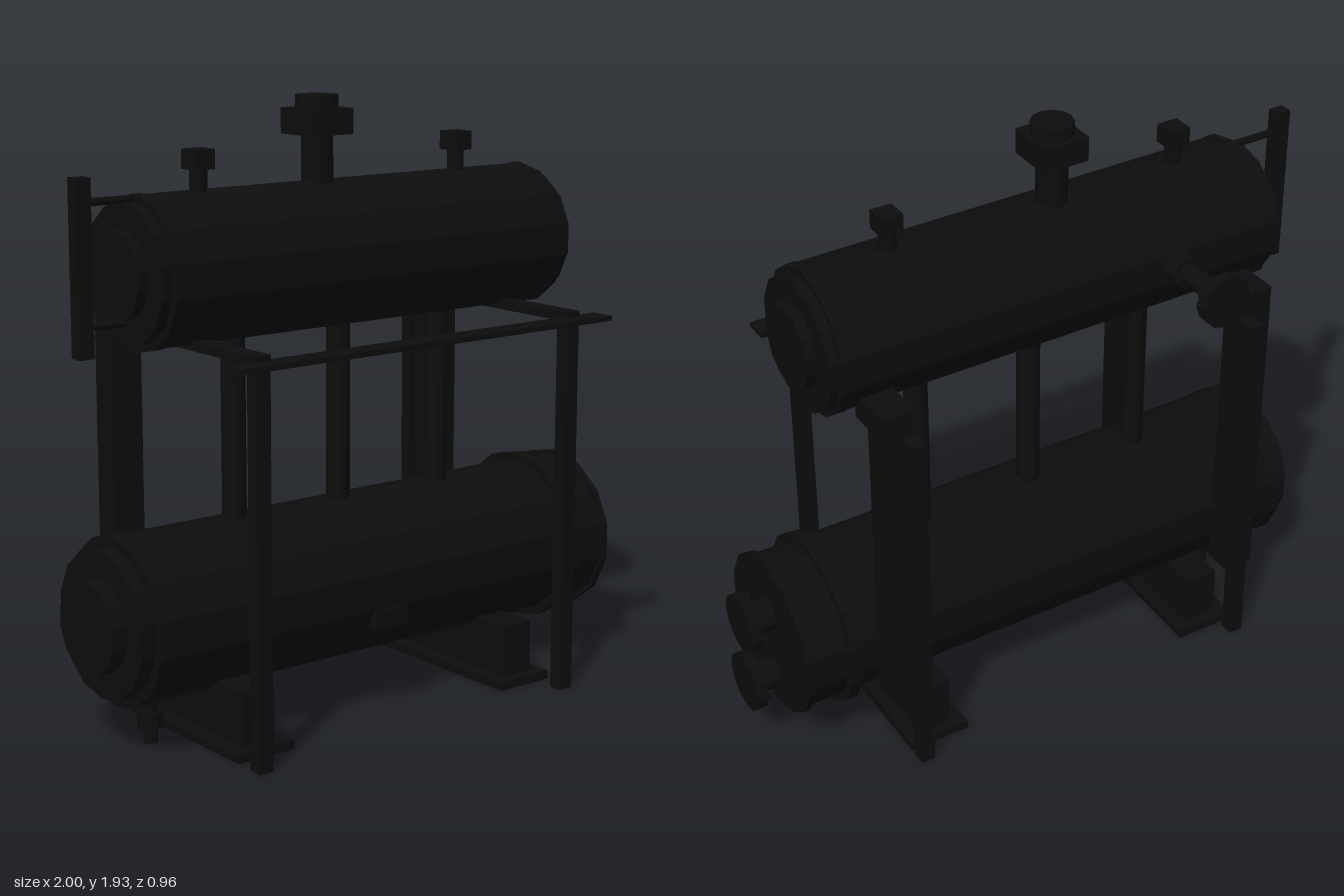
import * as THREE from 'three';

export function createModel() {
  const root = new THREE.Group();
  const black = new THREE.MeshStandardMaterial({ color: 0x0d0d0d, flatShading: true });
  black.name = 'black paint';

  const add = (geo, name, parent = root) => {
    const mesh = new THREE.Mesh(geo, black);
    mesh.name = name;
    parent.add(mesh);
    return mesh;
  };
  // Box given by its extents
  const box = (name, x0, x1, y0, y1, z0, z1, parent) =>
    add(new THREE.BoxGeometry(x1 - x0, y1 - y0, z1 - z0), name, parent)
      .position.set((x0 + x1) / 2, (y0 + y1) / 2, (z0 + z1) / 2);
  // Cylinder from a to b along one axis; u, v are the other two coordinates
  const rod = (name, axis, a, b, r, u, v, sides = 12, parent = root) => {
    const geo = new THREE.CylinderGeometry(r, r, b - a, sides, 1, false, Math.PI / 2);
    const m = (a + b) / 2;
    if (axis === 'x') geo.rotateZ(Math.PI / 2).translate(m, u, v);
    if (axis === 'y') geo.translate(u, m, v);
    if (axis === 'z') geo.rotateX(Math.PI / 2).translate(u, v, m);
    return add(geo, name, parent);
  };
  // Stepped fourteen-sided drum from [x, radius] points
  const drum = (name, y, points) => {
    const pts = points.map(([x, r]) => new THREE.Vector2(r, x));
    const geo = new THREE.LatheGeometry(pts, 14, Math.PI / 2);
    geo.rotateZ(-Math.PI / 2).translate(0, y, 0);
    add(geo, name);
  };

  // Drums with stepped ends
  drum('lowerDrum', 0.404, [
    [-0.99, 0], [-0.99, 0.148], [-0.94, 0.148], [-0.94, 0.23], [-0.893, 0.23],
    [-0.893, 0.262], [-0.845, 0.262], [-0.845, 0.257], [0.715, 0.257], [0.715, 0.284],
    [0.755, 0.284], [0.755, 0.257], [0.875, 0.257], [0.875, 0.27], [0.897, 0.27], [0.897, 0],
  ]);
  drum('upperDrum', 1.44, [
    [-0.866, 0], [-0.866, 0.134], [-0.835, 0.134], [-0.835, 0.213], [-0.8, 0.213],
    [-0.8, 0.234], [-0.77, 0.234], [-0.77, 0.231], [0.68, 0.231], [0.68, 0.234], [0.71, 0.234],
    [0.71, 0.213], [0.742, 0.213], [0.742, 0.134], [0.775, 0.134], [0.775, 0],
  ]);

  // Pipes joining the drums
  for (const x of [-0.45, -0.047, 0.357]) rod('connectingPipe', 'y', 0.6, 1.3, 0.038, x, 0);

  // Flanged nozzles on the lower drum's end
  for (const y of [0.485, 0.245]) {
    const nozzle = new THREE.Group();
    nozzle.name = 'endNozzle';
    root.add(nozzle);
    rod('nozzlePipe', 'x', 0.88, 0.98, 0.053, y, 0, 12, nozzle);
    rod('nozzleFlange', 'x', 0.965, 1.0, 0.1, y, 0, 12, nozzle);
    for (let i = 0; i < 8; i++) {
      const t = (i + 0.5) * Math.PI / 4;
      rod('bolt', 'x', 0.945, 0.97, 0.012, y + 0.078 * Math.cos(t), 0.078 * Math.sin(t), 6, nozzle);
    }
  }

  // Rear nozzle on the upper drum
  const rear = new THREE.Group();
  rear.name = 'rearNozzle';
  root.add(rear);
  rod('rearSleeve', 'z', -0.28, -0.15, 0.052, -0.447, 1.45, 12, rear);
  rod('rearPipe', 'z', -0.46, -0.2, 0.034, -0.447, 1.45, 12, rear);
  rod('rearCollar', 'z', -0.42, -0.385, 0.043, -0.447, 1.45, 12, rear);
  rod('rearFlange', 'z', -0.48, -0.443, 0.086, -0.447, 1.45, 12, rear);
  for (let i = 0; i < 8; i++) {
    const t = (i + 0.5) * Math.PI / 4;
    rod('bolt', 'z', -0.45, -0.425, 0.011, -0.447 + 0.067 * Math.cos(t), 1.45 + 0.067 * Math.sin(t), 6, rear);
  }

  // Main valve on top
  rod('mainValvePipe', 'y', 1.6, 1.83, 0.05, -0.127, 0);
  box('mainValveBody', -0.206, -0.048, 1.81, 1.89, -0.079, 0.079);
  rod('mainValveCap', 'y', 1.89, 1.93, 0.067, -0.127, 0);

  // Small relief valves on top
  for (const x of [-0.567, 0.433]) {
    rod('reliefPipe', 'y', 1.62, 1.74, 0.027, x, 0);
    box('reliefHead', x - 0.036, x + 0.036, 1.73, 1.79, -0.036, 0.036);
  }

  // Level gauge
  box('levelGauge', -1.0, -0.95, 1.21, 1.733, -0.022, 0.022);
  for (const y of [1.66, 1.3]) rod('gaugeArm', 'x', -0.96, y > 1.5 ? -0.79 : -0.82, 0.012, y, 0, 8);

  // Drain under the lower drum
  rod('drainPipe', 'y', 0, 0.24, 0.022, -0.77, 0);
  rod('drainValve', 'y', 0.05, 0.1, 0.04, -0.77, 0);

  // Nameplate block
  box('plateBlock', -0.1, 0.025, 0.285, 0.345, 0.2, 0.262);

  // Support at each end: saddle, column, posts and crossbar
  const supports = [
    { post: -0.647, saddle: -0.567, column: [-0.733, -0.627] },
    { post: 0.557, saddle: 0.477, column: [0.535, 0.642] },
  ];
  for (const { post, saddle, column } of supports) {
    const s = new THREE.Group();
    s.name = 'endSupport';
    root.add(s);
    box('basePlate', saddle - 0.103, saddle + 0.103, 0, 0.028, -0.32, 0.32, s);
    box('saddle', saddle - 0.058, saddle + 0.058, 0.028, 0.2, -0.28, 0.28, s);
    box('column', ...column, 0.24, 1.25, -0.327, -0.235, s);
    box('columnHead', ...column, 1.245, 1.33, -0.327, -0.16, s);
    box('frontPost', post - 0.024, post + 0.024, 0, 1.245, 0.382, 0.43, s);
    box('backPost', post - 0.024, post + 0.024, 0, 1.245, -0.385, -0.338, s);
    box('crossbar', post - 0.026, post + 0.026, 1.215, 1.245, -0.385, 0.43, s);
  }

  // Long front rail
  box('frontRail', -0.767, 0.677, 1.21, 1.226, 0.4, 0.48);

  return root;
}
